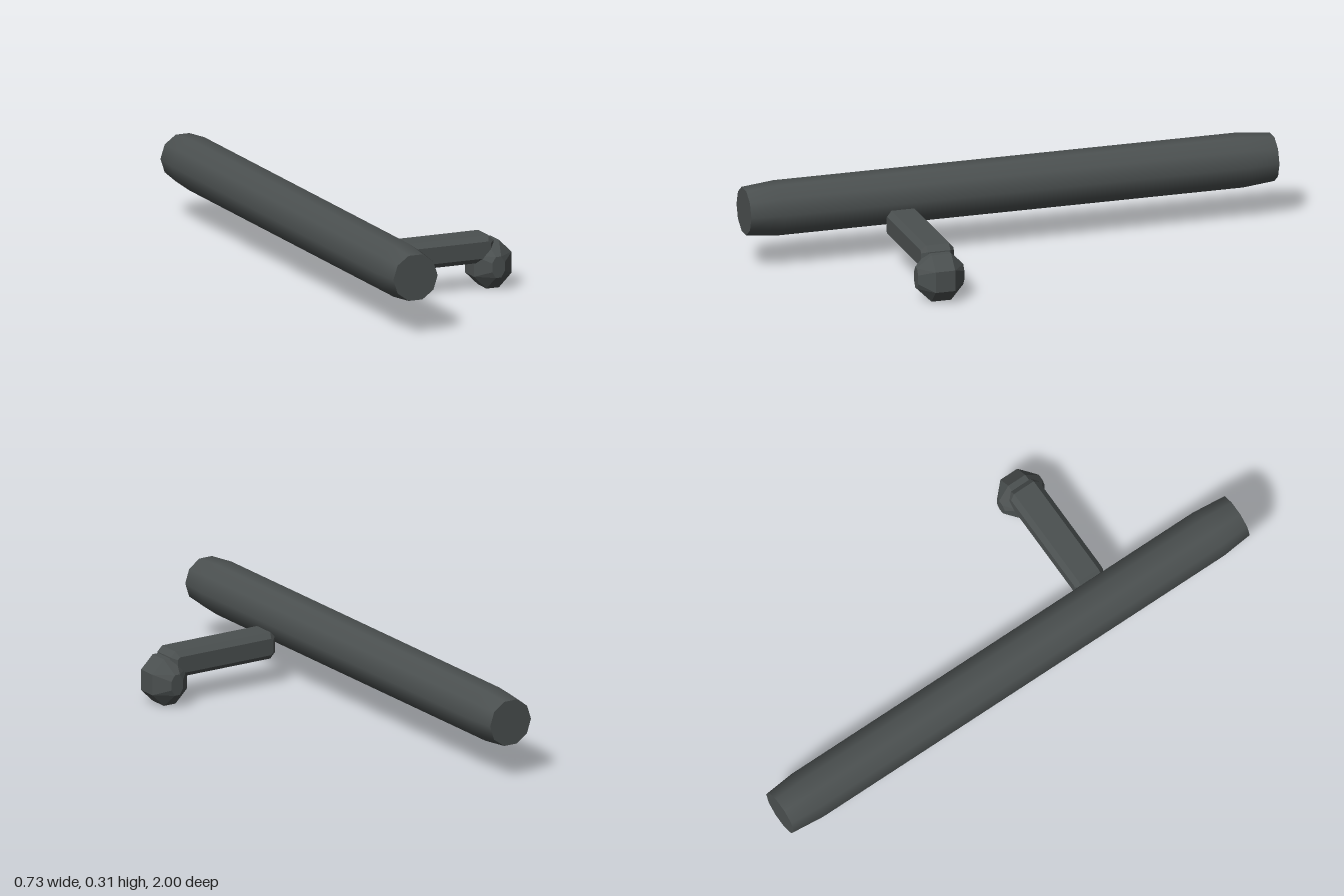
import * as THREE from 'three';
import { ConvexGeometry } from 'three/addons/geometries/ConvexGeometry.js';

const HALF_PI = Math.PI / 2;
const gripZ = 0.437;

// Eight corners of a chamfered rectangle: half sizes w, h and half lengths of its flat edges ex, ey
const octagon = (w, h, ex, ey) => [
  [ex, -h], [w, -ey], [w, ey], [ex, h], [-ex, h], [-w, ey], [-w, -ey], [-ex, -h],
];

export function createModel() {
  const model = new THREE.Group();
  const darkGrey = new THREE.MeshStandardMaterial({ color: 0x4b5050 });
  const darkGreyFaceted = darkGrey;
  const add = (parent, name, geometry, material = darkGrey) => {
    const mesh = new THREE.Mesh(geometry, material);
    mesh.name = name;
    parent.add(mesh);
    return mesh;
  };

  // Long ten-sided shaft, tapered at both ends
  const shaft = new THREE.Group();
  shaft.name = 'shaft';
  shaft.position.set(-0.263, 0.214, 0);
  const profile = [[0.088, -1], [0.1, -0.88], [0.1, 0.88], [0.088, 1]].map(([r, y]) => new THREE.Vector2(r, y));
  add(shaft, 'shaftSide', new THREE.LatheGeometry(profile, 10, HALF_PI).rotateX(HALF_PI));
  for (const side of [1, -1]) {
    const cap = add(shaft, side > 0 ? 'frontCap' : 'backCap', new THREE.CircleGeometry(0.088, 10));
    cap.position.z = side;
    if (side < 0) cap.rotation.y = Math.PI;
  }
  model.add(shaft);

  // Side grip: bar with chamfered edges and corners
  const bevel = 0.019;
  const inset = 0.0089; // corner cut left after the bevel is taken off
  const w = 0.225 - bevel, h = 0.05 - bevel;
  const outline = octagon(w, h, w - inset, h - inset).map(([x, y]) => new THREE.Vector2(x, y));
  const depth = 0.124 - 2 * bevel;
  const bar = new THREE.ExtrudeGeometry(new THREE.Shape(outline), {
    depth, bevelEnabled: true, bevelSize: bevel, bevelThickness: bevel, bevelSegments: 1,
  }).translate(0, 0, -depth / 2);
  add(model, 'gripBar', bar).position.set(0.062, 0.15, gripZ);

  // Faceted knob: a wide middle band narrowing to a small face front and back
  const points = [];
  for (const side of [1, -1]) {
    for (const [x, y] of octagon(0.075, 0.088, 0.025, 0.039)) points.push(new THREE.Vector3(x, y, side * 0.037));
    for (const [x, y] of octagon(0.025, 0.039, 0.0105, 0.0165)) points.push(new THREE.Vector3(x, y, side * 0.0875));
  }
  add(model, 'gripKnob', new ConvexGeometry(points), darkGreyFaceted).position.set(0.287, 0.088, gripZ);

  darkGrey.name = 'darkGrey';
  return model;
}
